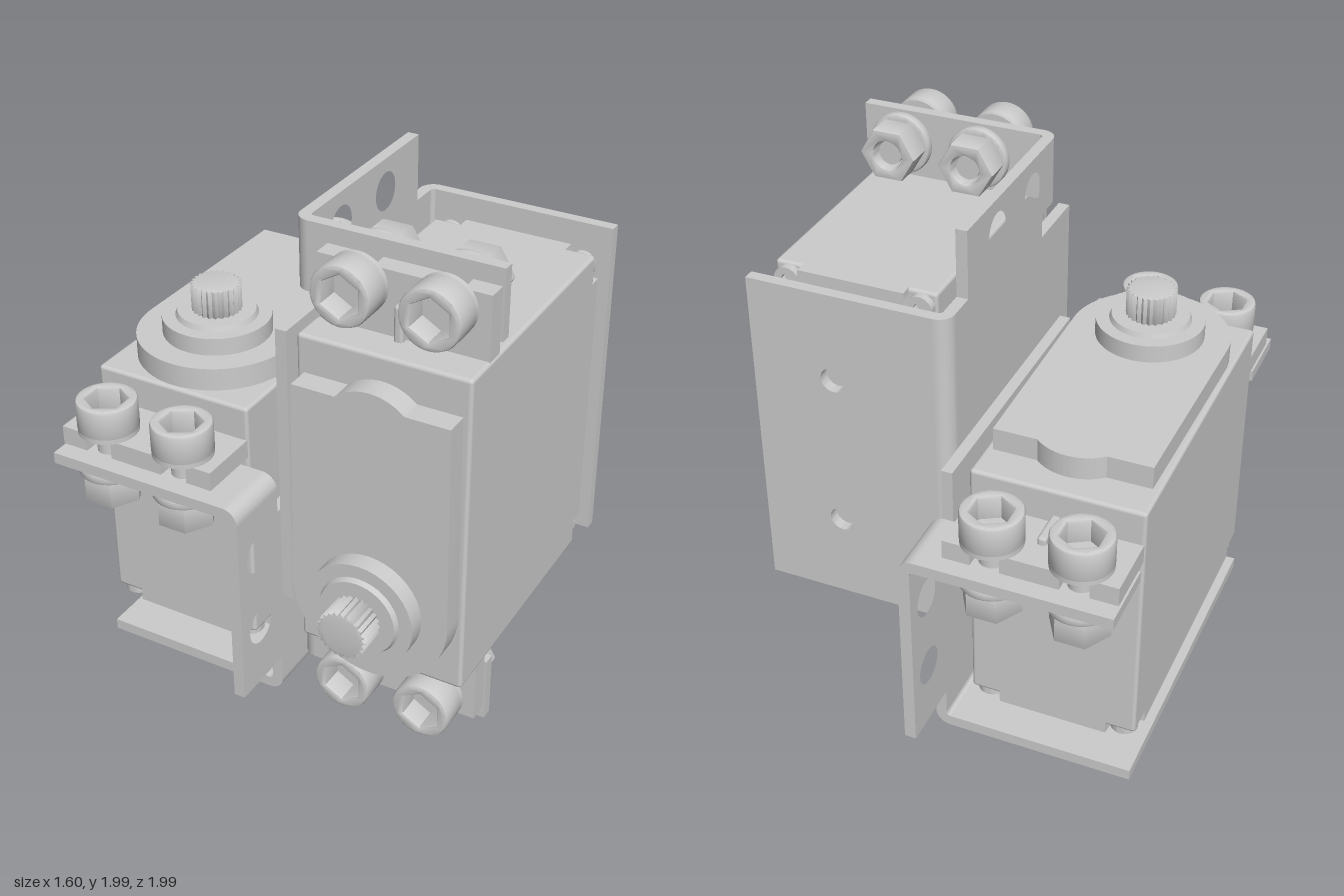
import * as THREE from 'three';
import { toCreasedNormals } from 'three/addons/utils/BufferGeometryUtils.js';
import { RoundedBoxGeometry } from 'three/addons/geometries/RoundedBoxGeometry.js';

const grey = new THREE.MeshStandardMaterial({ color: 0xcccccc });

function add(parent, name, geometry, x = 0, y = 0, z = 0) {
  const mesh = new THREE.Mesh(geometry, grey);
  mesh.name = name;
  mesh.position.set(x, y, z);
  parent.add(mesh);
  return mesh;
}

const outline = (pts) => new THREE.Shape(pts.map(([x, y]) => new THREE.Vector2(x, y)));

function withHoles(shape, holes) {
  for (const [x, y, r] of holes) shape.holes.push(new THREE.Path().absarc(x, y, r, 0, Math.PI * 2, true));
  return shape;
}

// Extrusion along z, with an optional small bevel kept inside the depth
function slab(shape, depth, bevel = 0) {
  const geometry = new THREE.ExtrudeGeometry(shape, {
    depth: depth - 2 * bevel, curveSegments: 20, bevelEnabled: bevel > 0,
    bevelThickness: bevel, bevelSize: bevel, bevelOffset: -bevel, bevelSegments: 2,
  });
  geometry.translate(0, 0, bevel);
  return toCreasedNormals(geometry, 0.5);
}

const disc = (r, depth, top = r) =>
  new THREE.CylinderGeometry(top, r, depth, 40).rotateX(Math.PI / 2).translate(0, 0, depth / 2);

const hexagon = (r, turn = 0) => Array.from({ length: 6 }, (_, i) => {
  const a = turn + i * Math.PI / 3;
  return [r * Math.cos(a), r * Math.sin(a)];
});

function hexNut(parent, name, r, depth, bore, x, y, z) {
  add(parent, name, slab(withHoles(outline(hexagon(r)), [[0, 0, bore]]), depth, 0.008), x, y, z);
}

// Socket-head bolt with shank, washer and nut
function createBolt(x, y) {
  const bolt = new THREE.Group();
  bolt.name = 'bolt';
  bolt.position.set(x, y, 0);
  const head = new THREE.Shape().absarc(0, 0, 0.115, 0, Math.PI * 2);
  head.holes.push(outline(hexagon(0.08, Math.PI / 6).reverse()));
  add(bolt, 'boltHead', slab(head, 0.125, 0.012), 0, 0, 0.585);
  add(bolt, 'boltHeadBase', disc(0.114, 0.04), 0, 0, 0.576);
  add(bolt, 'boltShank', disc(0.048, 0.28), 0, 0, 0.32);
  const washer = withHoles(new THREE.Shape().absarc(0, 0, 0.125, 0, Math.PI * 2), [[0, 0, 0.05]]);
  add(bolt, 'nutFlange', slab(washer, 0.045, 0.012), 0, 0, 0.4);
  hexNut(bolt, 'nut', 0.115, 0.115, 0.06, 0, 0, 0.29);
  return bolt;
}

// Servo motor: shaft along +z, centred on x and y
function createServo() {
  const servo = new THREE.Group();
  servo.name = 'servo';
  const shaftY = -0.32;

  add(servo, 'body', new RoundedBoxGeometry(0.66, 1.29, 1.03, 2, 0.015), 0, 0, 0.195);

  // Rear cover with rounded corner pockets for the case screws
  const n = 0.115, w = 0.33, h = 0.645;
  const cover = new THREE.Shape();
  cover.moveTo(-w + n, -h).lineTo(w - n, -h).quadraticCurveTo(w - n, -h + n, w, -h + n);
  cover.lineTo(w, h - n).quadraticCurveTo(w - n, h - n, w - n, h);
  cover.lineTo(-w + n, h).quadraticCurveTo(-w + n, h - n, -w, h - n);
  cover.lineTo(-w, -h + n).quadraticCurveTo(-w + n, -h + n, -w + n, -h);
  add(servo, 'rearCover', slab(cover, 0.06), 0, 0, -0.36);
  for (const sx of [-1, 1]) for (const sy of [-1, 1]) {
    const head = new THREE.Shape().absarc(0, 0, 0.052, 0, Math.PI * 2);
    head.holes.push(outline(hexagon(0.025).reverse()));
    add(servo, 'caseScrew', slab(head, 0.04), sx * 0.27, sy * 0.585, -0.35);
  }

  // Front gear case: round around the shaft, small bump at the far end
  const lid = new THREE.Shape();
  lid.absarc(0, shaftY, 0.31, Math.PI, Math.PI * 2);
  lid.lineTo(0.3, 0.5).lineTo(0.13, 0.5);
  lid.absarc(0, 0.356, 0.194, Math.PI / 2 - 0.733, Math.PI / 2 + 0.733);
  lid.lineTo(-0.3, 0.5);
  add(servo, 'gearCase', slab(lid, 0.1), 0, 0, 0.7);
  add(servo, 'shaftCollar', disc(0.21, 0.075), 0, shaftY, 0.795);
  add(servo, 'shaftBearing', disc(0.16, 0.025, 0.15), 0, shaftY, 0.865);

  // Splined output shaft
  const teeth = 24;
  const spline = Array.from({ length: teeth * 2 }, (_, i) => {
    const a = i * Math.PI / teeth, r = i % 2 ? 0.085 : 0.096;
    return [r * Math.cos(a), r * Math.sin(a)];
  });
  add(servo, 'outputShaft', slab(outline(spline), 0.12, 0.004), 0, shaftY, 0.88);

  // Mounting ears with open slots, stiffening rib and bolts
  for (const s of [-1, 1]) {
    const ear = new THREE.Shape();
    ear.moveTo(-0.325, 0.63).lineTo(0.325, 0.63).lineTo(0.325, 0.89);
    for (const x of [0.165, -0.165]) {
      ear.lineTo(x + 0.055, 0.89).lineTo(x + 0.055, 0.82);
      ear.absarc(x, 0.82, 0.055, 0, -Math.PI, true);
      ear.lineTo(x - 0.055, 0.89);
    }
    ear.lineTo(-0.325, 0.89);
    const mesh = add(servo, 'mountingEar', slab(ear, 0.075), 0, 0, 0.5);
    if (s < 0) mesh.rotation.z = Math.PI;
    add(servo, 'earRib', new RoundedBoxGeometry(0.035, 0.16, 0.06, 2, 0.012), 0, s * 0.7, 0.575);
    for (const x of [-0.165, 0.165]) servo.add(createBolt(x, s * 0.82));
  }
  return servo;
}

// Folded sheet bracket: side wall, rear plate and two front flanges
function createBracket() {
  const bracket = new THREE.Group();
  bracket.name = 'bracket';
  const t = 0.045;

  // Wall outline in (z, y), one half mirrored to the other
  const half = [[-0.47, 0.68], [-0.36, 0.68], [-0.36, 0.95], [0.43, 0.95],
    [0.43, 0.68], [0.33, 0.68], [0.33, 0.58], [0.62, 0.58]];
  const wall = outline([...half, ...half.map(([z, y]) => [z, -y]).reverse()]);
  const holes = [[0.23, 0, 0.04]];
  for (const s of [-1, 1]) {
    holes.push([0.23, s * 0.82, 0.075], [-0.1, s * 0.82, 0.075]);
    holes.push([0.23, s * 0.27, 0.12], [0.23, s * 0.56, 0.04], [-0.06, s * 0.27, 0.04]);
  }
  add(bracket, 'sideWall', slab(withHoles(wall, holes), t), -0.47 + t).rotation.y = -Math.PI / 2;

  const rear = outline([[-0.41, -0.68], [0.33, -0.68], [0.33, 0.68], [-0.41, 0.68]]);
  add(bracket, 'rearPlate', slab(withHoles(rear, [[0, 0.32, 0.05], [0, -0.32, 0.05]]), t), 0, 0, -0.53);

  // Quarter-round fold running along y
  const fold = (z, from, length, y) => {
    const ring = new THREE.Shape().absarc(-0.41, z, 0.06, from, from + Math.PI / 2);
    ring.absarc(-0.41, z, 0.06 - t, from + Math.PI / 2, from, true);
    add(bracket, 'fold', slab(ring, length).translate(0, 0, -length / 2), 0, y).rotation.x = Math.PI / 2;
  };
  fold(-0.47, Math.PI, 1.36, 0);
  for (const s of [-1, 1]) {
    fold(0.43, Math.PI / 2, 0.27, s * 0.815);
    add(bracket, 'frontFlange', new THREE.BoxGeometry(0.74, 0.27, t), -0.04, s * 0.815, 0.49 - t / 2);
  }
  return bracket;
}

export function createModel() {
  const model = new THREE.Group();
  model.name = 'panAndTiltServos';

  const tilt = new THREE.Group();
  tilt.name = 'forwardServoUnit';
  tilt.position.set(0.47, 1.04, 0);
  tilt.add(createServo(), createBracket());

  // Second unit turned shaft-up, its bracket flipped so the walls meet
  const pan = new THREE.Group();
  pan.name = 'uprightServoUnit';
  pan.position.set(-0.47, 0.53, -0.04);
  pan.rotation.x = -Math.PI / 2;
  const flipped = createBracket();
  flipped.rotation.z = Math.PI;
  pan.add(createServo(), flipped);

  // Pivot nut on the base plate, under the shaft
  const rim = withHoles(new THREE.Shape().absarc(0, 0, 0.085, 0, Math.PI * 2), [[0, 0, 0.045]]);
  add(pan, 'pivotNutFlange', slab(rim, 0.03, 0.008), 0, -0.32, -0.485);
  hexNut(pan, 'pivotNut', 0.078, 0.085, 0.045, 0, -0.32, -0.457);

  model.add(tilt, pan);
  return model;
}
